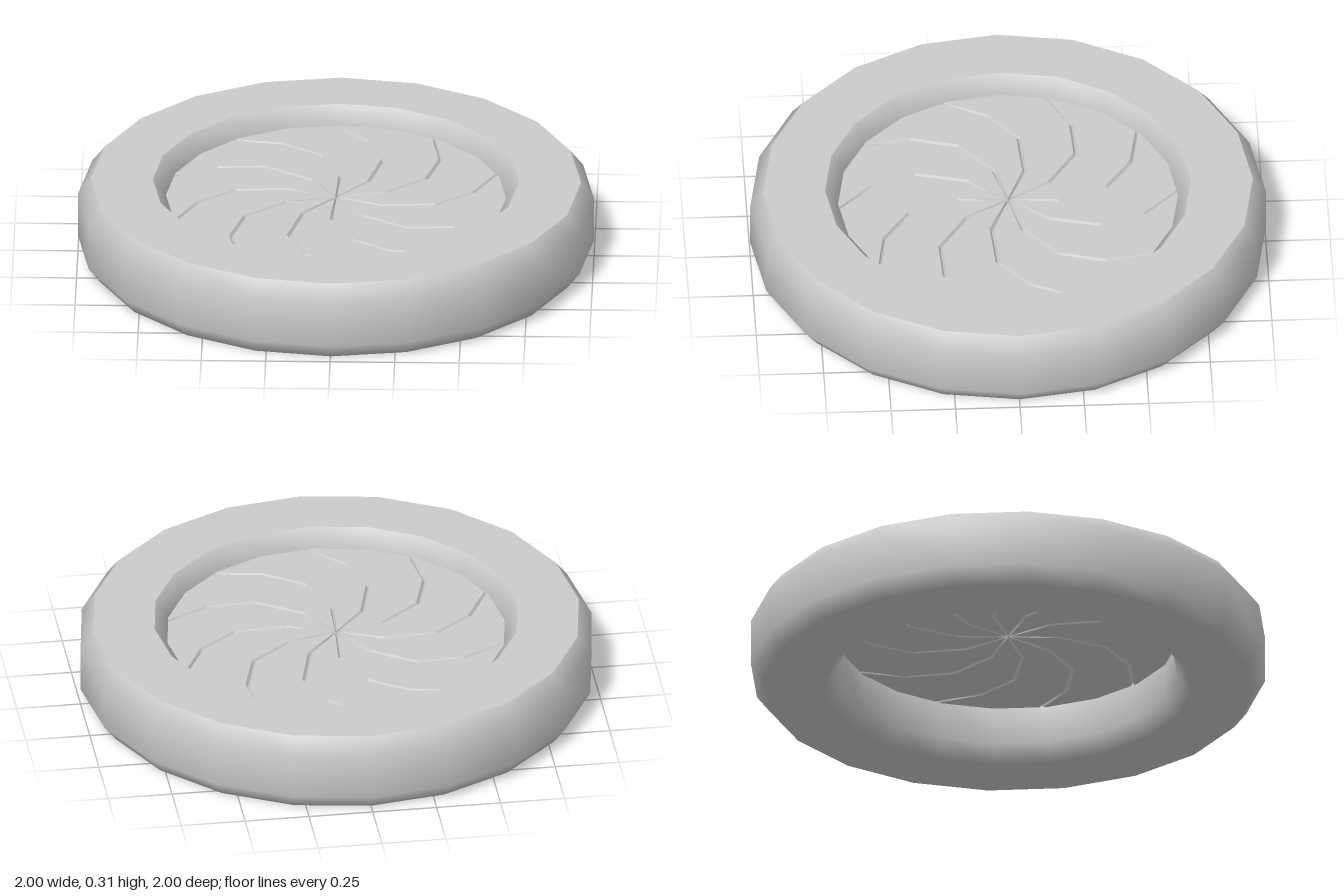
import * as THREE from 'three';

const SIDES = 20;
const BLADES = 10;

function lathe(name, points, material) {
  const profile = points.map(([r, y]) => new THREE.Vector2(r, y));
  const mesh = new THREE.Mesh(new THREE.LatheGeometry(profile, SIDES), material);
  mesh.name = name;
  return mesh;
}

export function createModel() {
  const model = new THREE.Group();
  model.name = 'irisHatch';
  const grey = new THREE.MeshStandardMaterial({ color: 0xcccccc });

  // Chamfered ring: smooth walls and underside, with a sharp-edged flat top
  const ring = new THREE.Group();
  ring.name = 'ring';
  ring.add(
    lathe('ringWalls', [
      [0.71, 0.31], [0.66, 0.245], [0.66, 0.065], [0.71, 0],
      [0.95, 0], [1, 0.065], [1, 0.245], [0.95, 0.31],
    ], grey),
    lathe('ringTop', [[0.95, 0.31], [0.71, 0.31]], grey),
  );
  model.add(ring);

  // One curved blade: its seam line, an edge hidden in the ring, and the next seam back
  const step = (Math.PI * 2) / BLADES;
  const origin = new THREE.Vector2();
  const seam = [[0, 0], [0.105, 0.165], [0.28, 0.275], [0.465, 0.267], [0.663, 0.167]]
    .map(([x, z]) => new THREE.Vector2(x, z));
  const turn = (p, a) => p.clone().rotateAround(origin, a);
  const tip = seam[seam.length - 1];
  const outline = [
    ...seam,
    turn(tip, step / 2),
    ...seam.slice(1).reverse().map((p) => turn(p, step)),
  ];

  // Bevelled edges leave a shallow V groove between neighbouring blades
  const bladeGeometry = new THREE.ExtrudeGeometry(new THREE.Shape(outline), {
    depth: 0.001,
    bevelEnabled: true,
    bevelThickness: 0.012,
    bevelSize: 0.008,
    bevelOffset: -0.008,
    bevelSegments: 1,
  });
  bladeGeometry.rotateX(Math.PI / 2);

  const iris = new THREE.Group();
  iris.name = 'iris';
  iris.position.y = 0.228;
  for (let i = 0; i < BLADES; i++) {
    const blade = new THREE.Mesh(bladeGeometry, grey);
    blade.name = `blade${i + 1}`;
    blade.rotation.y = i * step;
    iris.add(blade);
  }
  model.add(iris);

  return model;
}
